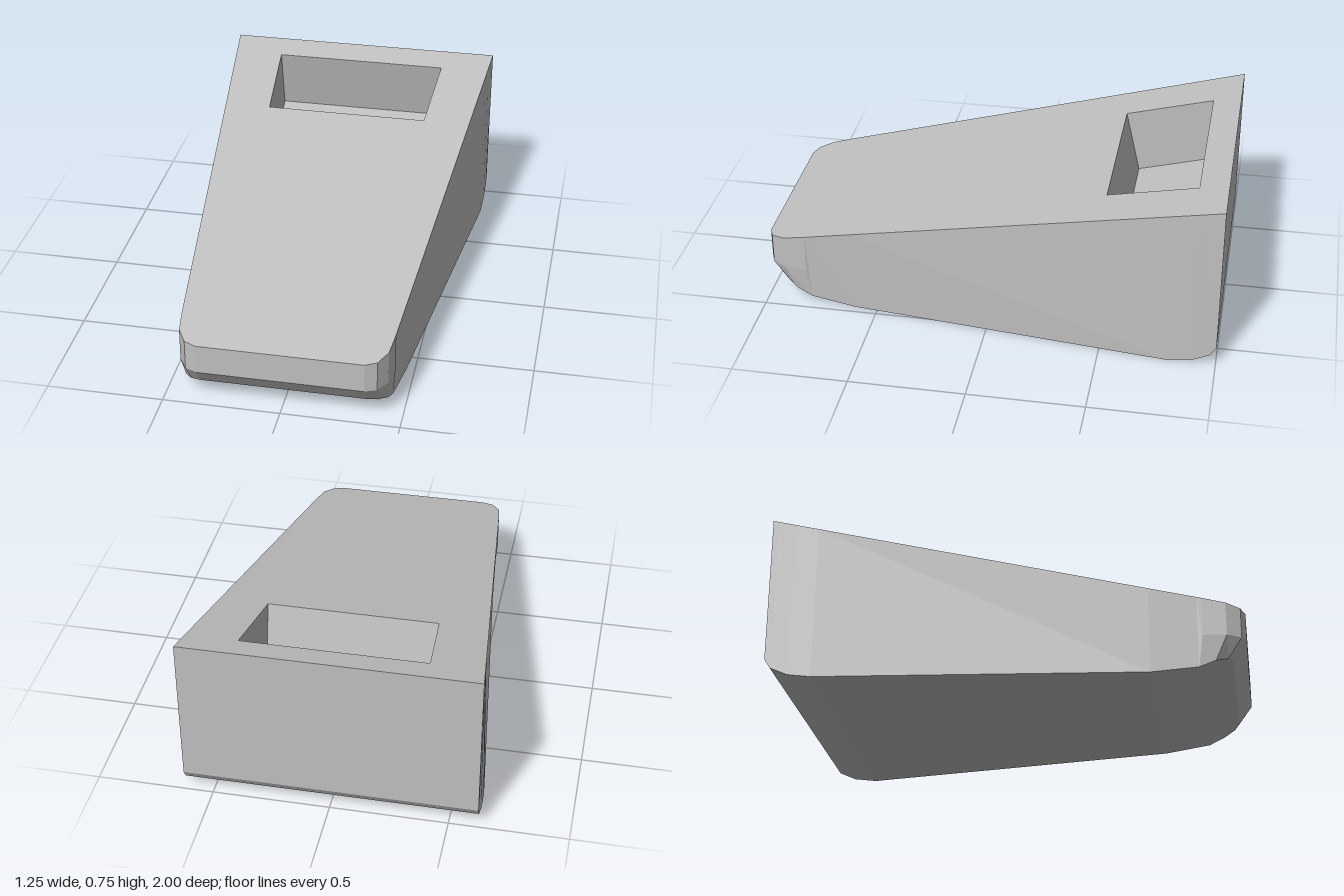
import * as THREE from 'three';

// Height of the sloping top at depth z
const topY = z => 0.75 - 0.23 * (z + 1);
// Half width of the top along its straight side edge
const topX = z => 0.45 + (0.82 - z) / 1.82 * 0.173;
const mirror = pts => pts.map(([x, y, z]) => [-x, y, z]);

// Strip of quads between two rows of points
function band(a, b) {
  const out = [];
  for (let i = 0; i < a.length - 1; i++) {
    out.push(a[i], b[i], b[i + 1], a[i], b[i + 1], a[i + 1]);
  }
  return out;
}

function facesGeometry(...bands) {
  const geo = new THREE.BufferGeometry();
  geo.setAttribute('position', new THREE.Float32BufferAttribute(bands.flat(2), 3));
  geo.computeVertexNormals();
  return geo;
}

export function createModel() {
  const group = new THREE.Group();
  const grey = new THREE.MeshStandardMaterial({ color: 0xc0c0c0 });
  grey.name = 'light grey';
  const add = (name, geo) => {
    const mesh = new THREE.Mesh(geo, grey);
    mesh.name = name;
    group.add(mesh);
  };

  // Rounded nose corner in plan (x, z), and its tucked-in lower edge
  const corner = [[0.35, 1], [0.4, 0.98], [0.437, 0.92], [0.45, 0.82]];
  const lowCorner = [[0.35, 0.08, 0.94], [0.395, 0.07, 0.92], [0.43, 0.05, 0.87], [0.44, 0.02, 0.8]];
  const across = half => [...mirror(half).reverse(), ...half];
  const noseTop = across(corner.map(([x, z]) => [x, topY(z), z]));
  const noseMid = across(corner.map(([x, z]) => [x, 0.16, z]));
  const noseLow = across(lowCorner);
  add('nose', facesGeometry(band(noseTop, noseMid), band(noseMid, noseLow)));

  // Lower side edge, from the nose to the curled rear
  const lowEdge = [
    [0.44, 0.02, 0.8], [0.463, 0, 0.6], [0.62, 0, -0.8], [0.622, 0.015, -0.9],
    [0.623, 0.05, -0.975], [0.623, 0.09, -1],
  ];

  // Sides, mirrored
  const sideLow = [[0.45, 0.16, 0.82], ...lowEdge];
  const sideTop = sideLow.map(([, , z]) => [topX(z), topY(z), z]);
  add('leftSide', facesGeometry(band(sideTop, sideLow)));
  add('rightSide', facesGeometry(band(mirror(sideTop).reverse(), mirror(sideLow).reverse())));

  // Underside and back wall
  const under = [...lowCorner.slice(0, 3), ...lowEdge];
  add('underside', facesGeometry(band(under, mirror(under))));
  const back = [[0.623, 0.09, -1], [0.623, 0.75, -1]];
  add('back', facesGeometry(band(back, mirror(back))));

  // Sloping top with an opening
  const half = [...corner, [0.623, -1]];
  const outline = [...half, ...half.map(([x, z]) => [-x, z]).reverse()];
  const opening = [[-0.39, -0.875], [0.39, -0.875], [0.365, -0.49], [-0.365, -0.49]];
  const toVec = ([x, z]) => new THREE.Vector2(x, -z);
  const shape = new THREE.Shape(outline.map(toVec));
  shape.holes.push(new THREE.Path(opening.map(toVec)));
  const top = new THREE.ShapeGeometry(shape).rotateX(-Math.PI / 2);
  const pos = top.attributes.position;
  for (let i = 0; i < pos.count; i++) pos.setY(i, topY(pos.getZ(i)));
  top.computeVertexNormals();
  add('slopingTop', top);

  // Recess sunk at right angles to the slope
  const rim = opening.map(([x, z]) => [x, topY(z), z]);
  const floor = rim.map(([x, y, z]) => [x, y - 0.283, z - 0.065]);
  add('recessWalls', facesGeometry(band([...rim, rim[0]], [...floor, floor[0]])));
  add('recessFloor', facesGeometry(band([floor[0], floor[1]], [floor[3], floor[2]])));

  return group;
}
